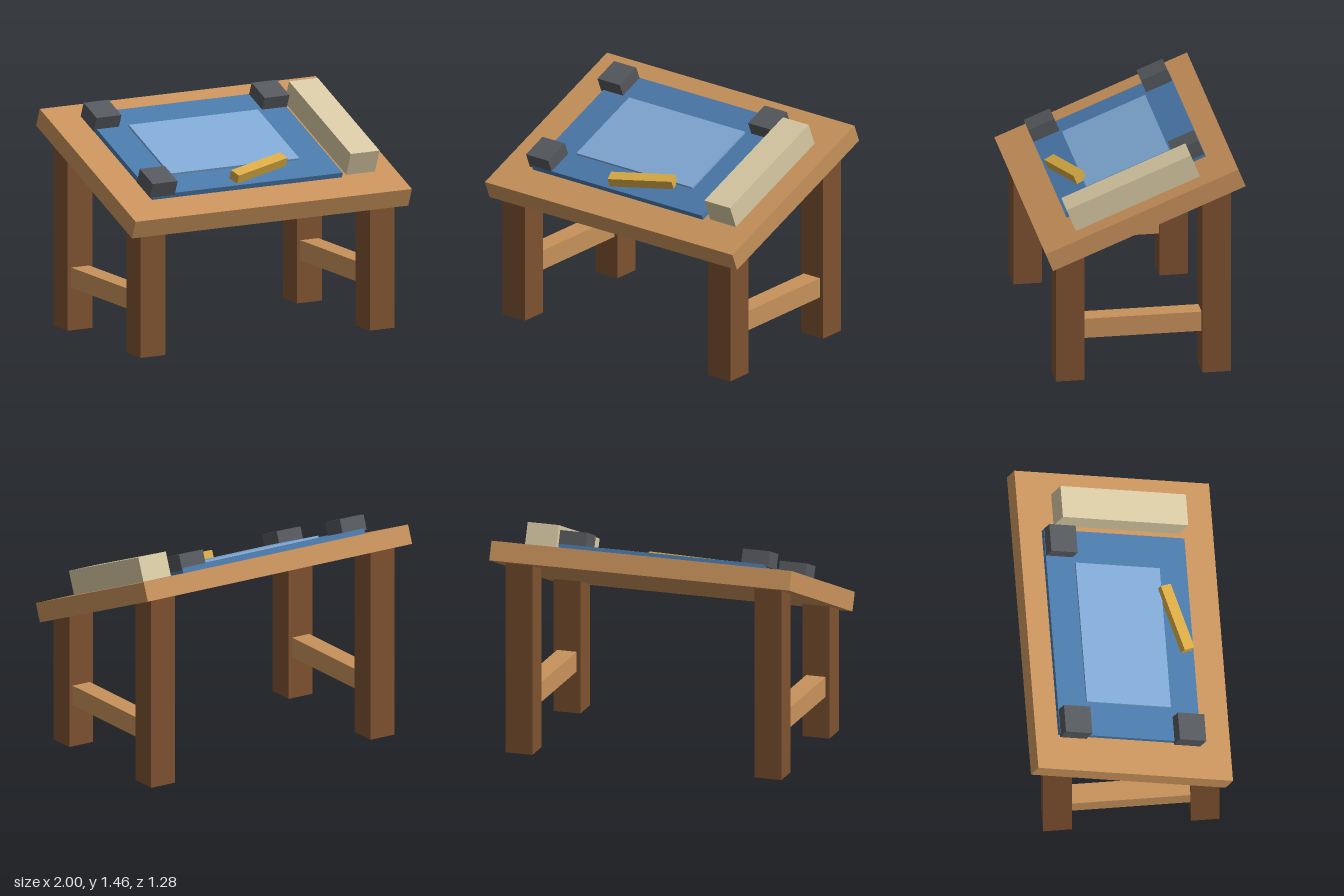
import * as THREE from 'three';

const mat = (name, color) => {
  const m = new THREE.MeshStandardMaterial({ color });
  m.name = name;
  return m;
};

export function createModel() {
  const wood = mat('lightWood', 0xc8925b);
  const darkWood = mat('darkWood', 0x7f5230);
  const blue = mat('matBlue', 0x4a79aa);
  const paleBlue = mat('sheetBlue', 0x80a9d5);
  const charcoal = mat('charcoal', 0x55585c);
  const gold = mat('gold', 0xdaac45);
  const cream = mat('cream', 0xd8caa4);

  // Box given by its minimum and maximum on each axis
  const box = (parent, name, material, [x0, x1], [y0, y1], [z0, z1]) => {
    const mesh = new THREE.Mesh(new THREE.BoxGeometry(x1 - x0, y1 - y0, z1 - z0), material);
    mesh.position.set((x0 + x1) / 2, (y0 + y1) / 2, (z0 + z1) / 2);
    mesh.name = name;
    parent.add(mesh);
    return mesh;
  };

  const model = new THREE.Group();
  model.name = 'draftingTable';

  // Legs run up into the sloping top; a rail joins each front and back pair
  for (const side of [-1, 1]) {
    const c = side * 0.83;
    const legX = [c - 0.09, c + 0.09];
    box(model, 'frontLeg', darkWood, legX, [0, 0.89], [0.378, 0.56]);
    box(model, 'backLeg', darkWood, legX, [0, 1.265], [-0.557, -0.375]);
    box(model, 'sideRail', wood, [c - 0.065, c + 0.065], [0.275, 0.405], [-0.375, 0.378]);
  }

  // Sloping top, with everything lying on it in the same tilted frame
  const top = new THREE.Group();
  top.name = 'slopingTop';
  top.position.y = 1.092;
  top.rotation.x = THREE.MathUtils.degToRad(22);
  model.add(top);

  box(top, 'tableTop', wood, [-1, 1], [-0.0625, 0.0625], [-0.664, 0.664]);
  box(top, 'cuttingMat', blue, [-0.77, 0.605], [0.0625, 0.0965], [-0.51, 0.45]);
  box(top, 'paperSheet', paleBlue, [-0.548, 0.387], [0.0965, 0.1105], [-0.315, 0.258]);
  box(top, 'longBox', cream, [0.647, 0.855], [0.0625, 0.22], [-0.425, 0.43]);

  // Weights on three corners of the mat
  for (const [x, z] of [[-0.79, -0.507], [0.427, -0.507], [-0.79, 0.27]]) {
    box(top, 'cornerWeight', charcoal, [x, x + 0.18], [0.082, 0.184], [z, z + 0.18]);
  }

  // Ruler block lying askew near the front
  const stick = box(top, 'rulerBlock', gold, [-0.172, 0.268], [0.0965, 0.1575], [0.298, 0.37]);
  stick.rotation.y = THREE.MathUtils.degToRad(17);

  return model;
}
